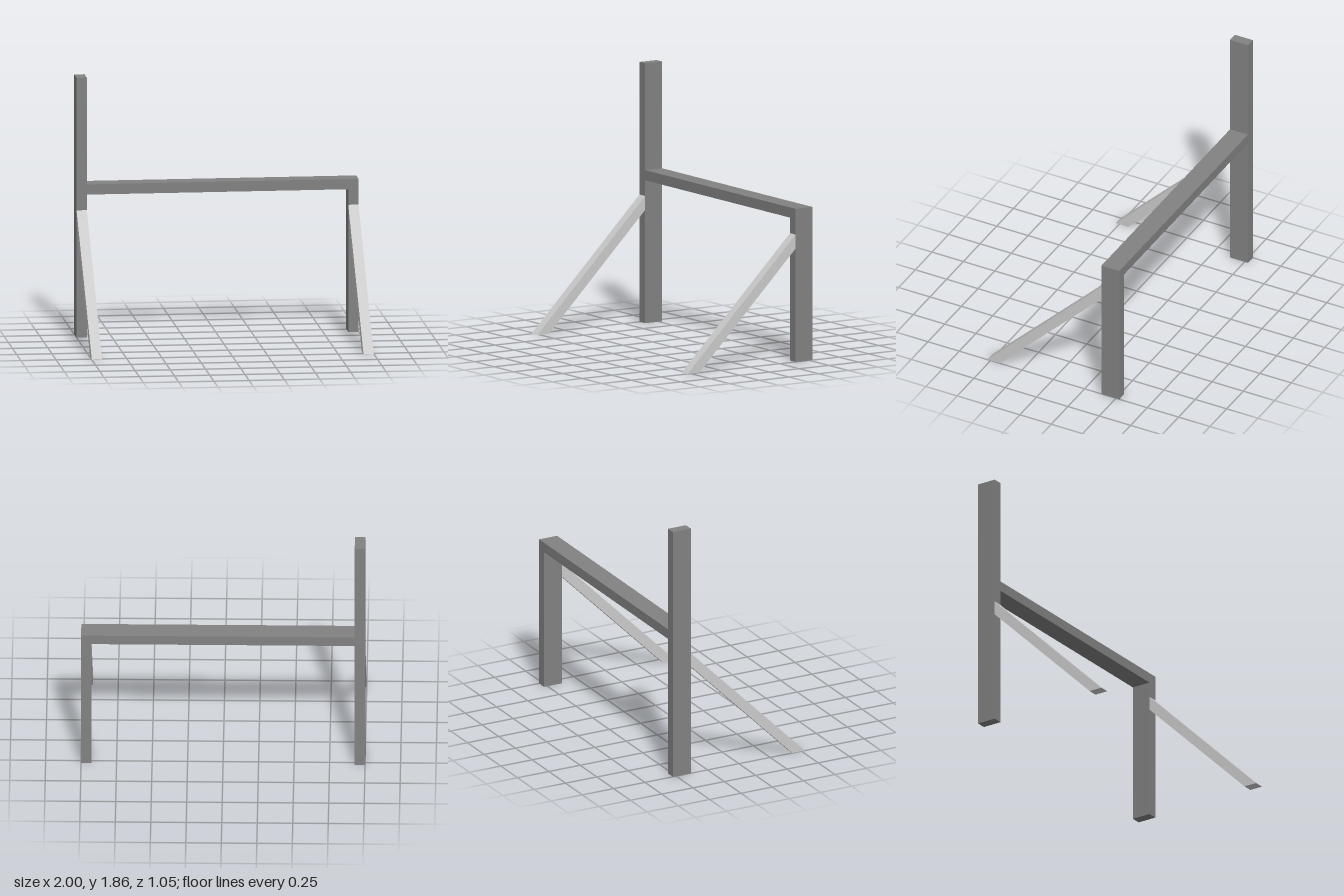
import * as THREE from 'three';

const T = 0.073; // timber thickness
const BACK = -0.527, FACE = -0.384; // depth range of the upright frame
const TALL = 1.857, TOP = 1.094; // tall post height, crossbar height

function extrude(points, depth) {
  const shape = new THREE.Shape(points.map(([x, y]) => new THREE.Vector2(x, y)));
  return new THREE.ExtrudeGeometry(shape, { depth, bevelEnabled: false });
}

export function createModel() {
  const model = new THREE.Group();
  const darkGrey = new THREE.MeshStandardMaterial({ color: 0x828282, flatShading: true });
  const lightGrey = new THREE.MeshStandardMaterial({ color: 0xcccccc, flatShading: true });
  const add = (name, geometry, material) => {
    const mesh = new THREE.Mesh(geometry, material);
    mesh.name = name;
    model.add(mesh);
  };

  // Tall post, crossbar and short post joined in one continuous dark frame
  const inner = 1 - T;
  const frame = extrude([
    [-1, 0], [-inner, 0], [-inner, TOP - T], [inner, TOP - T],
    [inner, 0], [1, 0], [1, TOP], [-inner, TOP], [-inner, TALL], [-1, TALL],
  ], FACE - BACK);
  frame.translate(0, 0, BACK);
  add('postsAndCrossbar', frame, darkGrey);

  // Light diagonal braces, cut flush with the ground and the front of each post
  for (const [name, outerX] of [['leftBrace', 1], ['rightBrace', -inner]]) {
    const brace = extrude([[0.427, 0], [0.527, 0], [FACE, 0.91], [FACE, 0.81]], T);
    brace.rotateY(-Math.PI / 2); // profile runs along z, thickness along -x
    brace.translate(outerX, 0, 0);
    add(name, brace, lightGrey);
  }
  return model;
}
